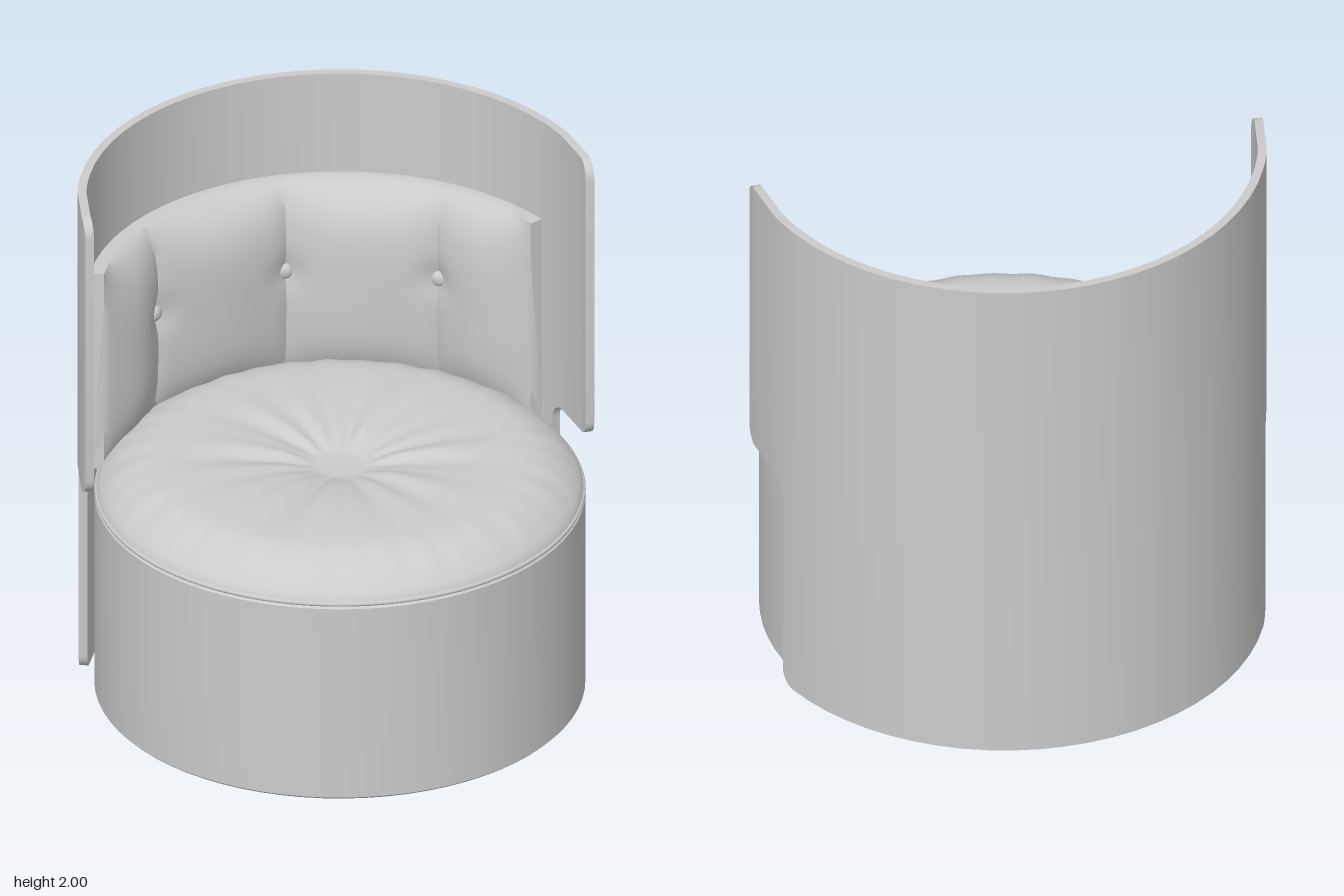
import * as THREE from 'three';
import { toCreasedNormals, mergeVertices } from 'three/addons/utils/BufferGeometryUtils.js';

const C = 0.025;                       // common centre of seat and shell (x and z)
const AXIS = -138;                     // direction of the middle of the back, degrees
const RAD = Math.PI / 180;
const mat = new THREE.MeshStandardMaterial({ color: 0xcccccc, roughness: 0.8, side: THREE.DoubleSide });

// Point at radius r, height y, and angle t (degrees) from the middle of the back
function polar(r, y, t) {
  const a = (AXIS + t) * RAD;
  return [C + r * Math.cos(a), y, C + r * Math.sin(a)];
}

function addMesh(group, name, geometry) {
  const mesh = new THREE.Mesh(geometry, mat);
  mesh.name = name;
  group.add(mesh);
  return mesh;
}

// Skin over closed [r, y] sections swept around the centre, capped at both ends
function sweep(sections, crease) {
  const pos = [], idx = [], n = sections[0].ring.length, last = sections.length - 1;
  sections.forEach(({ t, ring }) => ring.forEach(([r, y]) => pos.push(...polar(r, y, t))));
  for (let k = 0; k < last; k++) {
    for (let j = 0; j < n; j++) {
      const a = k * n + j, b = k * n + (j + 1) % n;
      idx.push(a, b, b + n, a, b + n, a + n);
    }
  }
  for (let j = 1; j < n - 1; j++) {
    idx.push(0, j + 1, j);
    idx.push(last * n, last * n + j, last * n + j + 1);
  }
  const g = new THREE.BufferGeometry();
  g.setAttribute('position', new THREE.Float32BufferAttribute(pos, 3));
  g.setIndex(idx);
  return toCreasedNormals(g, crease);
}

// Curved outer shell: wide above the seat, stepped in below, rounded corners
function shellGeometry() {
  const R = 0.945, inner = 0.913, deg = 1 / (R * RAD);
  const lowEnd = 71, topEnd = 90, notchY = 0.88, c = 0.065, steps = 6;
  const half = [];                     // [angle, low y, high y]
  const flat = lowEnd - c * deg;
  for (let i = 0; i < 12; i++) half.push([flat * i / 12, 0, 2]);
  const arc = fn => {
    for (let i = 0; i <= steps; i++) {
      const a = (i / steps) * Math.PI / 2;
      half.push(fn(Math.sin(a), 1 - Math.cos(a)));
    }
  };
  arc((s, k) => [flat + c * s * deg, c * k, 2]);
  arc((s, k) => [lowEnd + c * k * deg, notchY - c + c * s, 2]);
  arc((s, k) => [topEnd - c * (1 - s) * deg, notchY + c * k, 2 - c * k]);
  const all = [...half.slice(1).reverse().map(([t, lo, hi]) => [-t, lo, hi]), ...half];
  return sweep(all.map(([t, lo, hi]) => ({
    t, ring: [[inner, lo], [R, lo], [R, hi], [inner, hi]],
  })), 0.6);
}

// Back pad: four puffs between pleats, pinched in at the buttons
const PLEATS = [-67, -41, 0, 40, 67];
const PAD_LOW = 0.8, PAD_TOP = 1.6, BUTTON_Y = 1.26;

function padRadius(t, y) {
  let i = 0;
  while (i < 3 && t > PLEATS[i + 1]) i++;
  const u = (t - PLEATS[i]) / (PLEATS[i + 1] - PLEATS[i]);
  const puff = Math.pow(Math.max(0, Math.sin(Math.PI * u)), 0.7) * (i === 0 || i === 3 ? 0.04 : 0.075);
  const ends = Math.sin(Math.min(1, (67 - Math.abs(t)) / 18) * Math.PI / 2);
  const v = (y - 1.2) / 0.4;
  const rise = Math.pow(Math.max(0, 1 - v * v * v * v), 0.8);
  let pinch = 0;
  for (const p of PLEATS.slice(1, 4)) {
    const d = Math.hypot((t - p) * RAD * 0.8, y - BUTTON_Y);
    pinch += 0.02 * Math.exp(-((d / 0.06) ** 2));
  }
  return 0.86 - rise * (0.062 * ends + puff) + pinch * ends;
}

function padGeometry() {
  const sections = [], rows = 32;
  for (let i = 0; i < 4; i++) {
    const n = i === 0 || i === 3 ? 18 : 26;
    for (let k = i ? 1 : 0; k <= n; k++) {
      const t = PLEATS[i] + (PLEATS[i + 1] - PLEATS[i]) * k / n;
      const ring = [[0.911, PAD_LOW], [0.911, PAD_TOP]];
      for (let j = rows; j >= 0; j--) {
        const y = PAD_LOW + (PAD_TOP - PAD_LOW) * j / rows;
        ring.push([padRadius(t, y), y]);
      }
      sections.push({ t, ring });
    }
  }
  return sweep(sections, 0.9);
}

// Round cushion: sloping rim, sunken middle and radial gathers
function cushionGeometry() {
  const curve = new THREE.SplineCurve([
    [0.882, 0.795], [0.86, 0.835], [0.795, 0.89], [0.7, 0.931], [0.56, 0.941],
    [0.38, 0.938], [0.22, 0.921], [0.12, 0.897], [0.08, 0.89], [0, 0.889],
  ].map(p => new THREE.Vector2(...p)));
  const points = curve.getPoints(54);
  points[54].x = 0;
  let g = new THREE.LatheGeometry(points, 144);
  const p = g.attributes.position;
  for (let i = 0; i < p.count; i++) {
    const x = p.getX(i), z = p.getZ(i), r = Math.hypot(x, z), a = Math.atan2(z, x);
    const mid = THREE.MathUtils.smoothstep(r, 0.08, 0.22) * (1 - THREE.MathUtils.smoothstep(r, 0.3, 0.7));
    const rim = THREE.MathUtils.smoothstep(r, 0.6, 0.78) * (1 - THREE.MathUtils.smoothstep(r, 0.8, 0.88));
    const folds = Math.sin(7 * a + 1) + Math.sin(11 * a + 2.3) + 0.8 * Math.sin(17 * a + 0.4);
    const gathers = Math.sin(36 * a) + 0.6 * Math.sin(23 * a + 1.7);
    p.setY(i, p.getY(i) + 0.0045 * mid * folds + 0.0025 * rim * gathers);
  }
  g.deleteAttribute('uv');
  g.deleteAttribute('normal');
  g = mergeVertices(g, 1e-5);
  g.computeVertexNormals();
  return g;
}

export function createModel() {
  const model = new THREE.Group();
  model.name = 'tubChair';

  // Drum base with softened edges
  const drum = [[0, 0], [0.877, 0], [0.885, 0.008], [0.885, 0.78], [0.876, 0.79], [0, 0.79]];
  const base = new THREE.LatheGeometry(drum.map(p => new THREE.Vector2(...p)), 72);
  addMesh(model, 'seatBase', toCreasedNormals(base, 0.6)).position.set(C, 0, C);

  addMesh(model, 'seatCushion', cushionGeometry()).position.set(C, 0, C);

  // Piping around the foot of the cushion
  const piping = addMesh(model, 'cushionPiping', new THREE.TorusGeometry(0.877, 0.009, 8, 96));
  piping.rotation.x = Math.PI / 2;
  piping.position.set(C, 0.797, C);

  addMesh(model, 'backShell', shellGeometry());
  addMesh(model, 'backPad', padGeometry());

  // Buttons at the pleats, facing the sitter
  for (const t of PLEATS.slice(1, 4)) {
    const button = addMesh(model, 'backButton', new THREE.SphereGeometry(0.03, 20, 14));
    button.scale.z = 0.6;
    button.position.set(...polar(padRadius(t, BUTTON_Y) - 0.008, BUTTON_Y, t));
    button.lookAt(C, BUTTON_Y, C);
  }
  return model;
}
